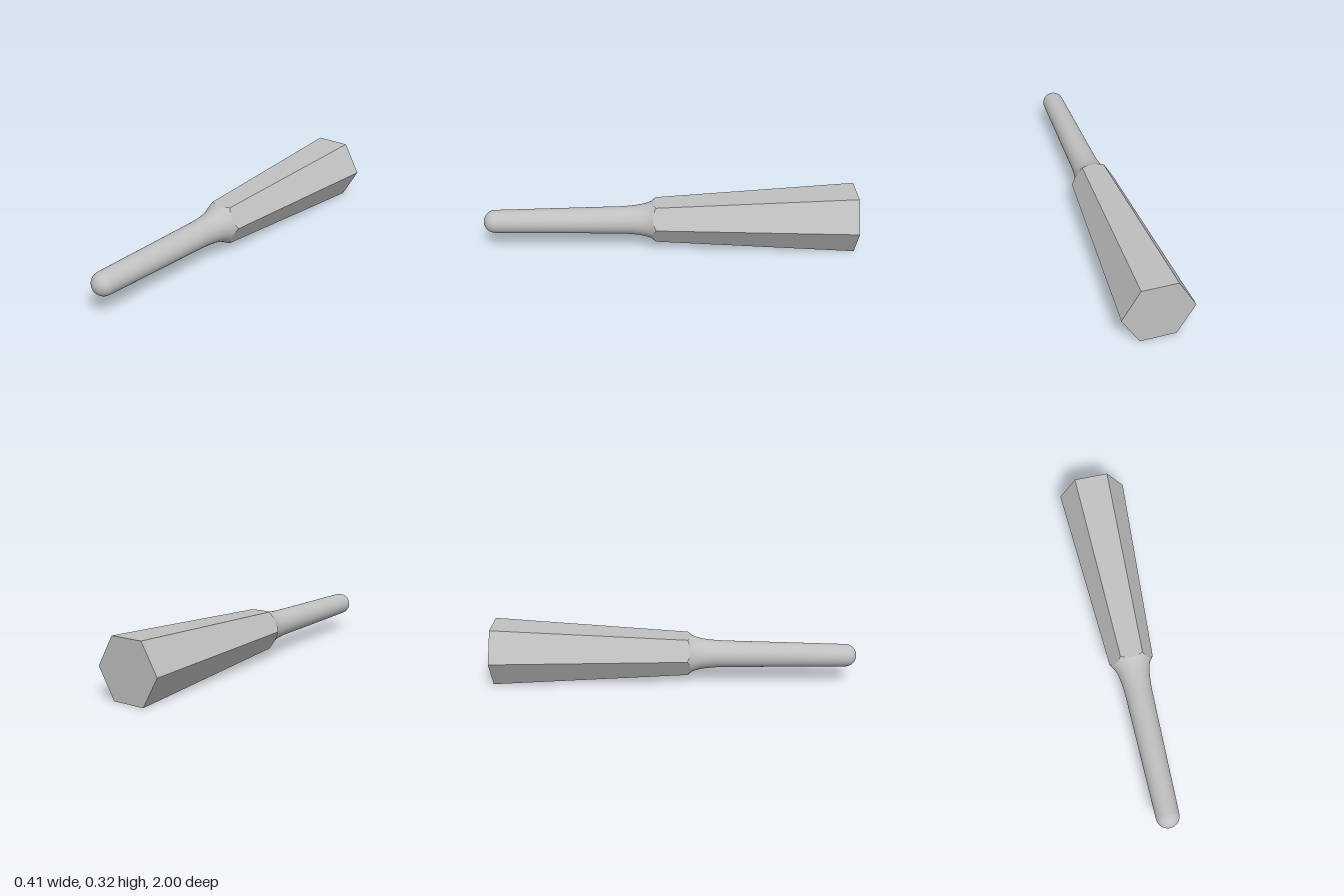
import * as THREE from 'three';

const SEGMENTS = 96;
const BACK_APOTHEM = 0.16, FRONT_APOTHEM = 0.103;

// Ratio of hexagon radius to apothem at an angle; corners lie at 30 + 60k degrees.
function hexRatio(phi) {
  const sector = Math.PI / 3;
  return 1 / Math.cos(phi - Math.round(phi / sector) * sector);
}

// Point on the scalloped front rim: corners sit further back than the flats.
function rimPoint(phi) {
  const k = hexRatio(phi);
  const y = 1.085 - 0.016 * (k - 1) / (2 / Math.sqrt(3) - 1);
  const apothem = THREE.MathUtils.lerp(BACK_APOTHEM, FRONT_APOTHEM, y / 1.085);
  const r = apothem * k;
  return [r * Math.sin(phi), y, r * Math.cos(phi)];
}

// Tapered six-sided handle with a scalloped front edge
function handleGeometry() {
  const positions = [];
  const backPoint = (phi) => {
    const r = BACK_APOTHEM * hexRatio(phi);
    return [r * Math.sin(phi), 0, r * Math.cos(phi)];
  };
  for (let i = 0; i < SEGMENTS; i++) {
    const p0 = (i / SEGMENTS) * Math.PI * 2, p1 = ((i + 1) / SEGMENTS) * Math.PI * 2;
    const a = backPoint(p0), b = backPoint(p1), c = rimPoint(p1), d = rimPoint(p0);
    positions.push(...a, ...b, ...c, ...a, ...c, ...d);
  }
  const geometry = new THREE.BufferGeometry();
  geometry.setAttribute('position', new THREE.Float32BufferAttribute(positions, 3));
  geometry.computeVertexNormals();
  return geometry.rotateX(Math.PI / 2);
}

// Flared neck, slightly tapered round shaft and domed tip in one revolved skin
function shaftGeometry() {
  const profile = [
    [0.111, 1.077], [0.1, 1.094], [0.092, 1.115], [0.086, 1.138], [0.081, 1.165],
    [0.077, 1.2], [0.0745, 1.235], [0.073, 1.27], [0.0615, 1.931],
  ].map(([r, y]) => new THREE.Vector2(r, y));
  for (let i = 1; i <= 16; i++) {
    const t = (i / 16) * Math.PI / 2;
    profile.push(new THREE.Vector2(i === 16 ? 0 : 0.0615 * Math.cos(t), 1.931 + 0.0615 * Math.sin(t)));
  }
  const geometry = new THREE.LatheGeometry(profile, SEGMENTS);
  // Fit the first ring to the hexagonal rim
  const position = geometry.attributes.position;
  for (let i = 0; i <= SEGMENTS; i++) {
    position.setXYZ(i * profile.length, ...rimPoint((i / SEGMENTS) * Math.PI * 2));
  }
  return geometry.rotateX(Math.PI / 2);
}

export function createModel() {
  const grey = new THREE.MeshStandardMaterial({ color: 0xc0c0c0 });
  grey.name = 'light grey';

  const model = new THREE.Group();
  model.name = 'handledRod';
  const tool = new THREE.Group();
  tool.name = 'tiltedBody';
  tool.position.set(-0.0235, 0.16, -0.985);
  tool.rotation.y = THREE.MathUtils.degToRad(5);
  model.add(tool);

  const add = (name, geometry) => {
    const mesh = new THREE.Mesh(geometry, grey);
    mesh.name = name;
    tool.add(mesh);
  };
  add('handle', handleGeometry());
  add('handleEnd', new THREE.CircleGeometry(BACK_APOTHEM * 2 / Math.sqrt(3), 6).rotateY(Math.PI));
  add('shaft', shaftGeometry());
  return model;
}
